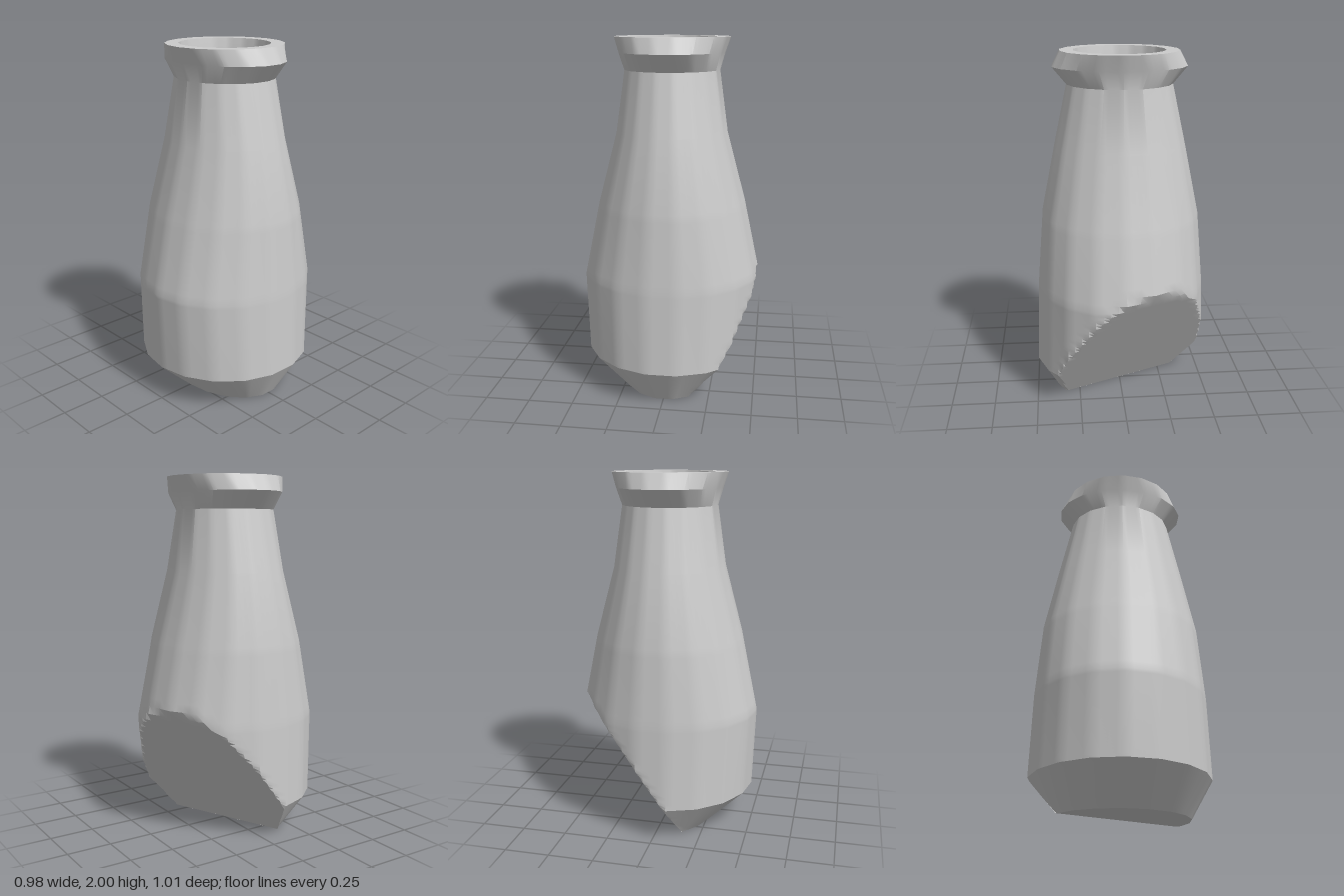
import * as THREE from 'three';
import { toCreasedNormals } from 'three/addons/utils/BufferGeometryUtils.js';

const SIDES = 18, SEG = 72;

// rings of the bottle wall: height, half width, half depth, subdivisions up to the next ring
const profile = [
  [0, 0, 0, 8], [0, 0.385, 0.28, 10], [0.2, 0.5, 0.493, 24], [0.66, 0.485, 0.512, 10],
  [1.09, 0.45, 0.42, 1], [1.48, 0.37, 0.315, 1], [1.82, 0.295, 0.268, 1],
  [1.915, 0.375, 0.295, 1], [2, 0.33, 0.325, 1],
  // lip, inner neck and inner floor
  [2, 0.255, 0.25, 1], [1.78, 0.22, 0.21, 1], [1.1, 0.22, 0.21, 1], [1.1, 0, 0, 0],
];

// radius factor that gives a regular polygon outline
function facet(angle) {
  const step = (2 * Math.PI) / SIDES;
  return Math.cos(step / 2) / Math.cos((angle % step) - step / 2);
}

// flat slanted cut across the lower back
const cutX = -0.4, cutZ = -0.917;
function cut(x, y, z) {
  const over = x * cutX + z * cutZ - 0.66 * y;
  return over > 0 ? [x - over * cutX, y, z - over * cutZ] : [x, y, z];
}

function bottleGeometry() {
  const rings = [];
  profile.forEach((a, i) => {
    const b = profile[i + 1];
    if (!b) return rings.push(a);
    for (let k = 0; k < a[3]; k++) {
      rings.push([0, 1, 2].map(c => THREE.MathUtils.lerp(a[c], b[c], k / a[3])));
    }
  });
  const pos = [], index = [], row = SEG + 1;
  rings.forEach(([y, rx, rz], i) => {
    for (let j = 0; j <= SEG; j++) {
      const t = ((j % SEG) / SEG) * 2 * Math.PI, f = facet(t);
      pos.push(...cut(rx * f * Math.sin(t), y, rz * f * Math.cos(t)));
      if (i < rings.length - 1 && j < SEG) {
        const a = i * row + j, b = a + 1;
        index.push(a, b, a + row, b, b + row, a + row);
      }
    }
  });
  const geo = new THREE.BufferGeometry();
  geo.setAttribute('position', new THREE.Float32BufferAttribute(pos, 3));
  geo.setIndex(index);
  return toCreasedNormals(geo, 0.45);
}

// slanted panel inside the neck
function panelGeometry() {
  const geo = new THREE.BufferGeometry();
  geo.setAttribute('position', new THREE.Float32BufferAttribute([
    -0.08, 1.9, -0.2, -0.22, 1.49, 0.05, 0.19, 1.1, 0.11, -0.05, 1.0, 0.22], 3));
  geo.setIndex([0, 1, 2, 1, 3, 2]);
  const flat = geo.toNonIndexed();
  flat.computeVertexNormals();
  return flat;
}

export function createModel() {
  const group = new THREE.Group();
  group.name = 'bottle';
  const add = (name, geo) => {
    const mesh = new THREE.Mesh(geo,
      new THREE.MeshStandardMaterial({ color: 0xcccccc, side: THREE.DoubleSide }));
    mesh.name = name;
    group.add(mesh);
  };
  add('bottleBody', bottleGeometry());
  add('innerPanel', panelGeometry());
  return group;
}
